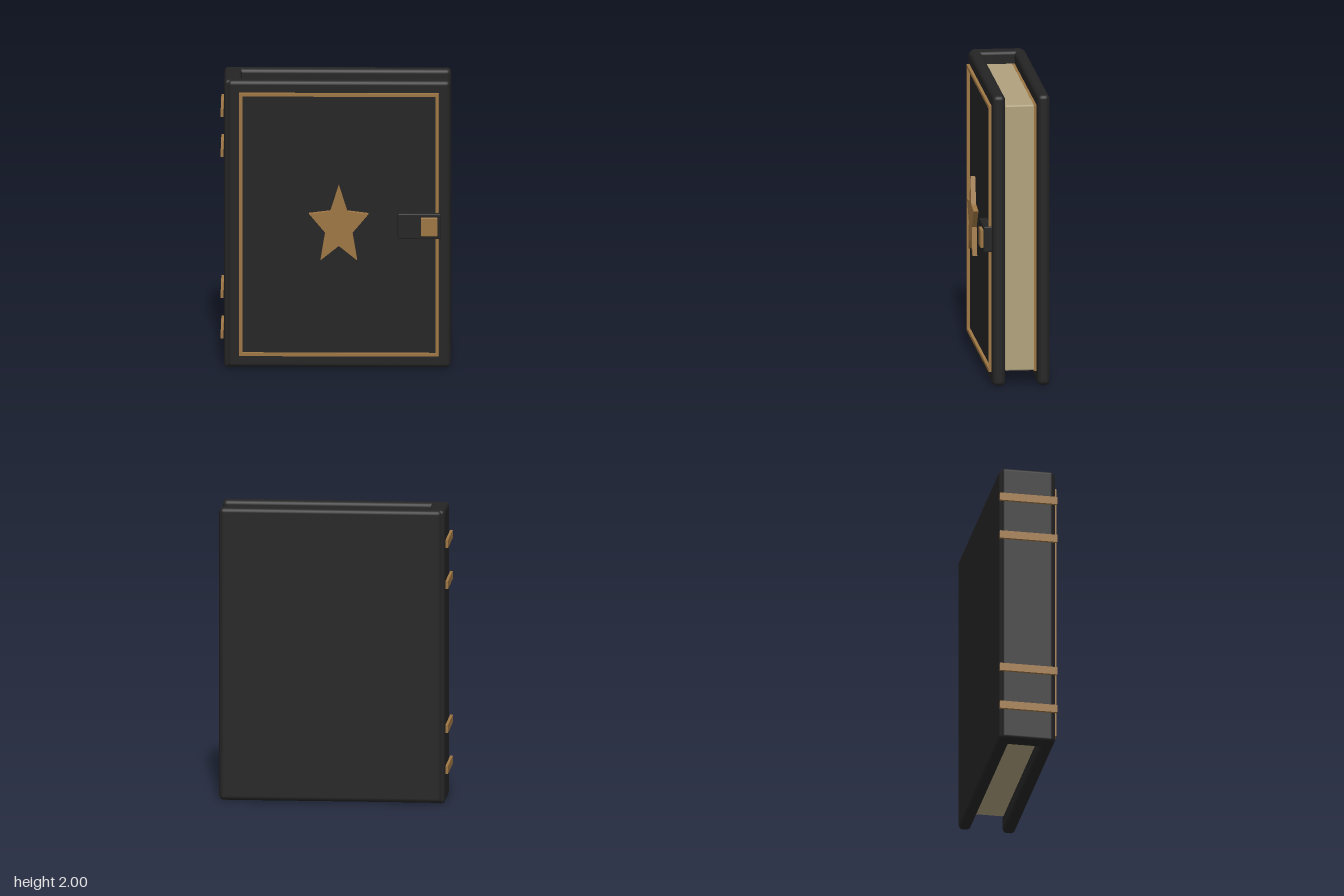
import * as THREE from 'three';
import { RoundedBoxGeometry } from 'three/addons/geometries/RoundedBoxGeometry.js';

const material = (name, color) => {
  const m = new THREE.MeshStandardMaterial({ color });
  m.name = name;
  return m;
};

export function createModel() {
  const book = new THREE.Group();
  book.name = 'book';
  const leather = material('black leather', 0x242424);
  const gold = material('antique gold', 0x9e7643);
  const paper = material('old paper', 0xb0a17d);

  const add = (name, geometry, mat) => {
    const mesh = new THREE.Mesh(geometry, mat);
    mesh.name = name;
    book.add(mesh);
    return mesh;
  };

  // Box given by its limits on each axis, with optional rounded edges
  const block = (name, [x0, x1], [y0, y1], [z0, z1], radius, mat) => {
    const size = [x1 - x0, y1 - y0, z1 - z0];
    const geometry = radius
      ? new RoundedBoxGeometry(...size, 3, radius)
      : new THREE.BoxGeometry(...size);
    add(name, geometry, mat).position.set((x0 + x1) / 2, (y0 + y1) / 2, (z0 + z1) / 2);
  };

  // Covers, spine and page block
  block('frontCover', [-0.73, 0.77], [0.005, 1.998], [0.07, 0.155], 0.03, leather);
  block('backCover', [-0.73, 0.77], [0.005, 1.998], [-0.23, -0.148], 0.03, leather);
  block('spine', [-0.75, -0.635], [0, 2], [-0.215, 0.14], 0.025, leather);
  block('pages', [-0.68, 0.685], [0.092, 1.915], [-0.145, 0.066], 0.012, paper);

  // Thin rectangular frames on the front cover and inside the back cover
  const rectangle = (Path, x0, x1, y0, y1) => new Path([
    new THREE.Vector2(x0, y0), new THREE.Vector2(x1, y0),
    new THREE.Vector2(x1, y1), new THREE.Vector2(x0, y1),
  ]);
  const frame = rectangle(THREE.Shape, -0.65, 0.69, 0.09, 1.916);
  frame.holes.push(rectangle(THREE.Path, -0.628, 0.668, 0.112, 1.894));
  for (const [name, z] of [['frontFrame', 0.155], ['backFrame', -0.15]]) {
    const geometry = new THREE.ExtrudeGeometry(frame, { depth: 0.02, bevelEnabled: false });
    add(name, geometry, gold).position.z = z;
  }

  // Tall five-pointed star
  const points = [];
  for (let i = 0; i < 10; i++) {
    const a = Math.PI / 2 + (i * Math.PI) / 5;
    const r = i % 2 ? 0.46 : 1;
    points.push(new THREE.Vector2(Math.cos(a) * 0.21 * r, Math.sin(a) * 0.288 * r));
  }
  const star = new THREE.ExtrudeGeometry(new THREE.Shape(points), { depth: 0.033, bevelEnabled: false });
  add('star', star, gold).position.set(0.02, 1.003, 0.191);

  // Clasp strap and buckle
  block('claspStrap', [0.415, 0.705], [0.915, 1.09], [0.15, 0.21], 0.008, leather);
  block('claspBuckle', [0.57, 0.682], [0.94, 1.066], [0.195, 0.23], 0.004, gold);

  // Raised bands along the spine
  for (const y of [0.235, 0.515, 1.495, 1.775]) {
    block('spineBand', [-0.773, -0.755], [y - 0.027, y + 0.027], [-0.233, 0.157], 0, gold);
  }
  return book;
}
